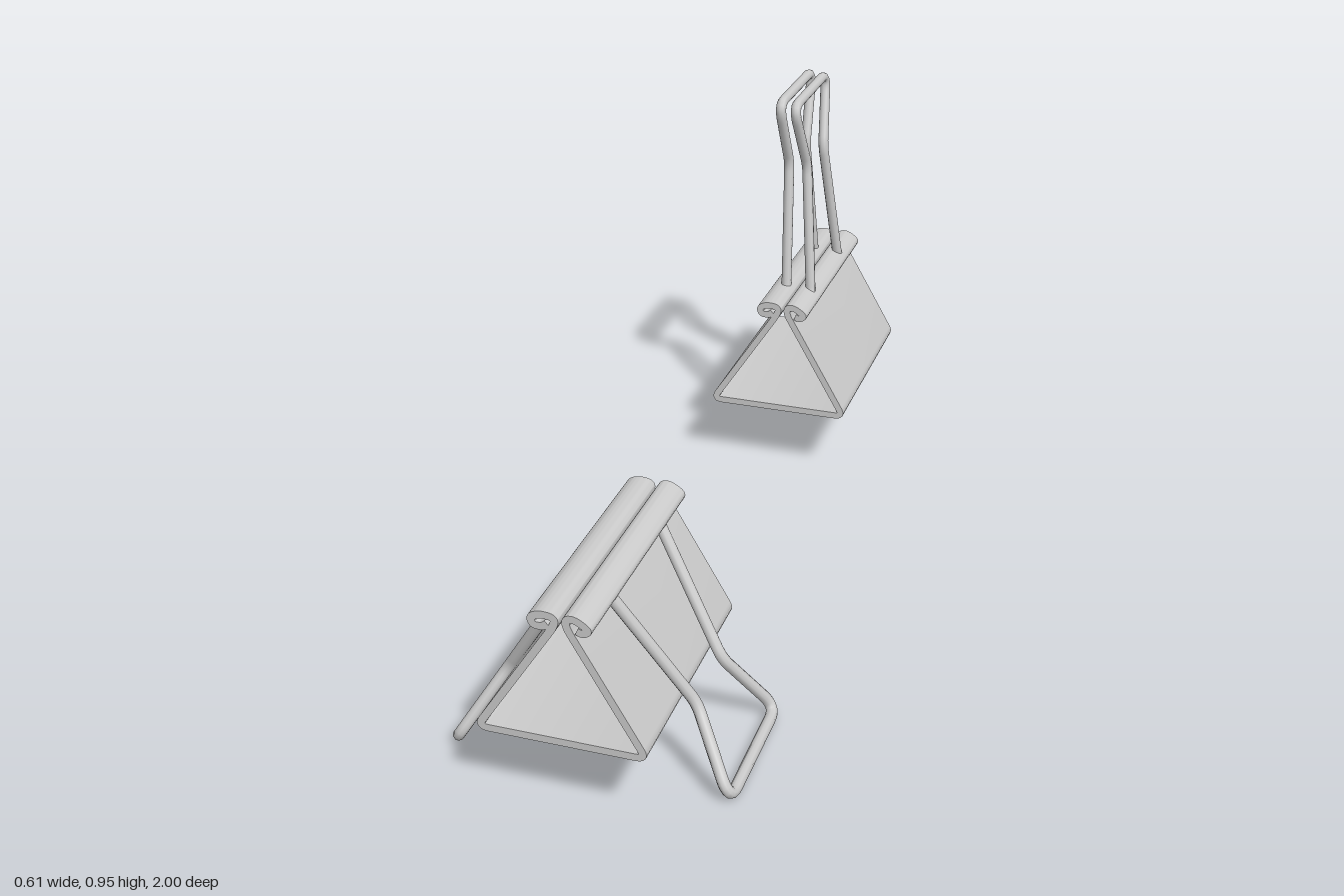
import * as THREE from 'three';
import { toCreasedNormals } from 'three/addons/utils/BufferGeometryUtils.js';

const material = new THREE.MeshStandardMaterial({ color: 0xcccccc });
const WIRE = 0.0125, SHEET = 0.008;

// Polyline with every inner corner rounded by a short bezier
function roundedPath(points, radius) {
  const path = new THREE.CurvePath();
  let start = points[0];
  for (let i = 1; i < points.length - 1; i++) {
    const p = points[i];
    const toward = (q) => {
      const d = p.distanceTo(q);
      return p.clone().lerp(q, Math.min(radius, d * 0.45) / d);
    };
    const a = toward(points[i - 1]), b = toward(points[i + 1]);
    path.add(new THREE.LineCurve3(start, a));
    path.add(new THREE.QuadraticBezierCurve3(a, p, b));
    start = b;
  }
  path.add(new THREE.LineCurve3(start, points[points.length - 1]));
  return path;
}

// Bent sheet: a centre line thickened on both sides and extruded along z
function makeBody(length) {
  const profile = [
    [-0.024, 0.437], [-0.034, 0.429], [-0.054, 0.430], [-0.058, 0.447], [-0.038, 0.456],
    [-0.010, 0.453], [-0.010, 0.436], [-0.180, 0.173], [0.165, 0.173], [0.013, 0.436],
    [0.013, 0.454], [0.032, 0.456], [0.060, 0.437], [0.046, 0.427], [0.034, 0.432],
  ].map(([x, y]) => new THREE.Vector3(x, y, 0));
  const line = roundedPath(profile, 0.022).getPoints(6);
  const outer = [], inner = [];
  line.forEach((p, i) => {
    const t = line[Math.min(i + 1, line.length - 1)].clone().sub(line[Math.max(i - 1, 0)]).normalize();
    outer.push(new THREE.Vector2(p.x - t.y * SHEET, p.y + t.x * SHEET));
    inner.push(new THREE.Vector2(p.x + t.y * SHEET, p.y - t.x * SHEET));
  });
  const shape = new THREE.Shape([...outer, ...inner.reverse()]);
  const geometry = new THREE.ExtrudeGeometry(shape, { depth: length, bevelEnabled: false });
  geometry.translate(0, 0, -length / 2);
  const mesh = new THREE.Mesh(toCreasedNormals(geometry, 0.6), material);
  mesh.name = 'springBody';
  return mesh;
}

// Wire loop running from its hinge point to its tip, pinched at the waist
function makeHandle(name, hinge, tip, halves, waistAt) {
  const [base, waist, end] = halves;
  const at = (t, z) => new THREE.Vector3(
    THREE.MathUtils.lerp(hinge[0], tip[0], t), THREE.MathUtils.lerp(hinge[1], tip[1], t), z);
  const half = [at(0, base + 0.04), at(0, base), at(waistAt, waist), at(0.955, end), at(1, end - 0.012)];
  const mirrored = half.map((p) => new THREE.Vector3(p.x, p.y, -p.z)).reverse();
  const path = roundedPath([...half, ...mirrored], 0.024);
  const handle = new THREE.Group();
  handle.name = name;
  const wire = new THREE.Mesh(new THREE.TubeGeometry(path, 160, WIRE, 10), material);
  wire.name = 'wire';
  handle.add(wire);
  // Closed ends of the hinge feet
  for (const side of [1, -1]) {
    const cap = new THREE.Mesh(new THREE.CircleGeometry(WIRE, 10), material);
    cap.name = 'wireEnd';
    cap.position.set(hinge[0], hinge[1], side * (base + 0.04));
    if (side < 0) cap.rotation.y = Math.PI;
    handle.add(cap);
  }
  return handle;
}

function makeClip(name, z, handles, handleOffset) {
  const clip = new THREE.Group();
  clip.name = name;
  clip.position.z = z;
  clip.add(makeBody(0.532));
  for (const h of handles) {
    const handle = makeHandle(...h);
    handle.position.z = handleOffset;
    clip.add(handle);
  }
  return clip;
}

export function createModel() {
  const model = new THREE.Group();
  model.name = 'binderClips';
  // Front clip with its handles folded down against the sides
  const open = [0.143, 0.08, 0.151];
  model.add(makeClip('openClip', 0.734, [
    ['leftHandle', [0.042, 0.438], [0.291, 0.017], open, 0.63],
    ['rightHandle', [-0.036, 0.440], [-0.295, 0.024], open, 0.63],
  ], -0.012));
  // Back clip with its handles standing upright
  const closed = [0.136, 0.077, 0.141];
  model.add(makeClip('closedClip', -0.734, [
    ['leftHandle', [0.041, 0.438], [-0.008, 0.938], closed, 0.66],
    ['rightHandle', [-0.024, 0.440], [-0.045, 0.942], closed, 0.66],
  ], 0.005));
  return model;
}
